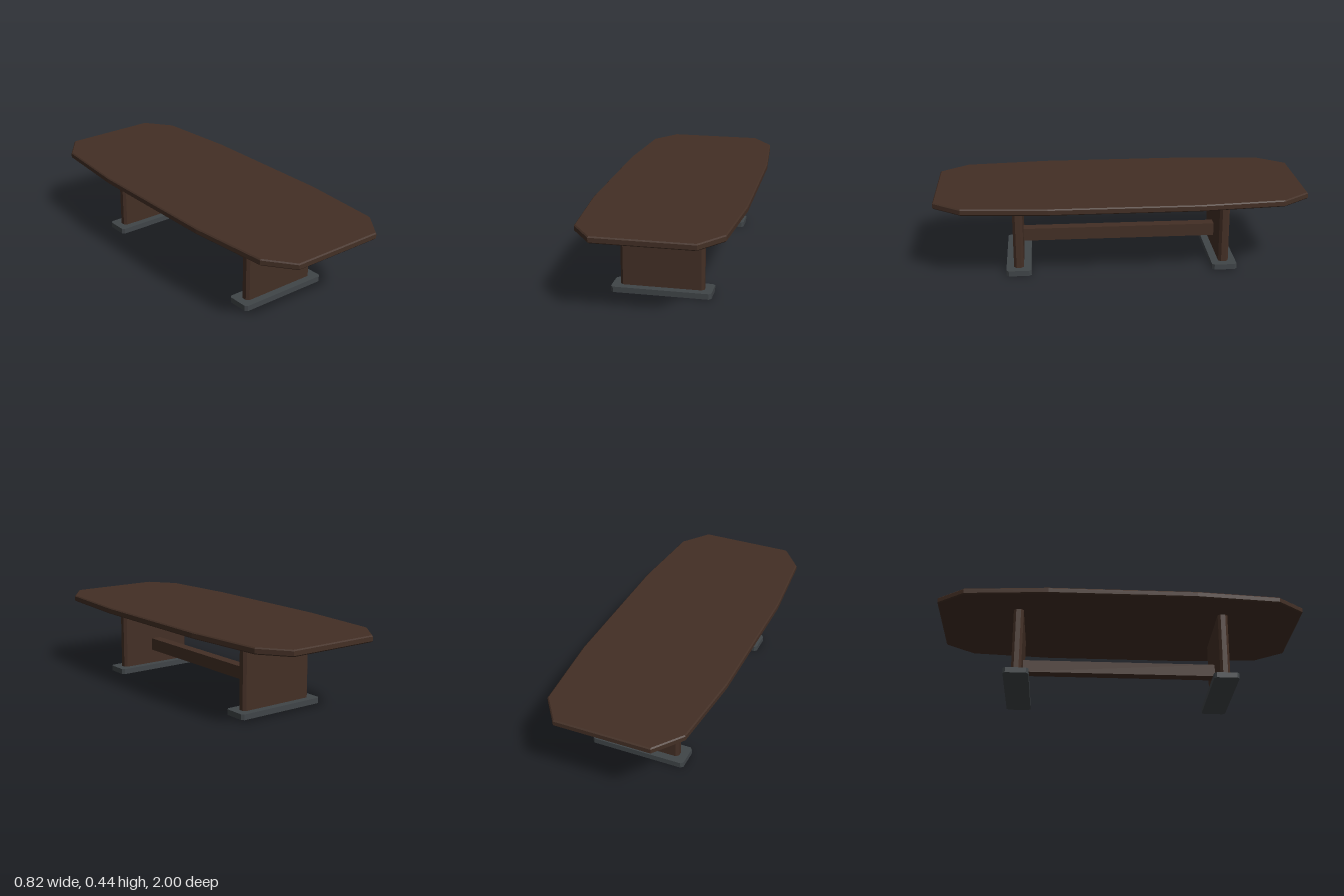
import * as THREE from 'three';

const wood = new THREE.MeshStandardMaterial({ color: 0x432f25, flatShading: true });
const metal = new THREE.MeshStandardMaterial({ color: 0x404548, flatShading: true });

// Horizontal slab from one quarter of its outline ([x, z] points, from the end to the side)
function slab(name, quarter, y0, y1, bevel, material) {
  const back = [...quarter].reverse();
  const outline = [
    ...back,
    ...quarter.map(([x, z]) => [-x, z]),
    ...back.map(([x, z]) => [-x, -z]),
    ...quarter.map(([x, z]) => [x, -z]),
  ].map(([x, z]) => new THREE.Vector2(x, z));
  const geometry = new THREE.ExtrudeGeometry(new THREE.Shape(outline), {
    depth: y1 - y0 - 2 * bevel,
    bevelEnabled: bevel > 0,
    bevelThickness: bevel,
    bevelSize: bevel,
    bevelOffset: -bevel,
    bevelSegments: 1,
  });
  geometry.rotateX(-Math.PI / 2).translate(0, y0 + bevel, 0);
  const mesh = new THREE.Mesh(geometry, material);
  mesh.name = name;
  return mesh;
}

// Quarter outline of a rectangle with cut corners
const cutCorner = (x, z, c) => [[x - c, z], [x, z - c]];

export function createModel() {
  const table = new THREE.Group();
  table.name = 'conferenceTable';

  // Boat-shaped top with clipped corners and a bevelled rim
  table.add(slab('tableTop', [[0.26, 1], [0.373, 0.85], [0.41, 0.4]], 0.4, 0.435, 0.006, wood));

  // Panel leg and foot plate at each end
  for (const [side, s] of [['front', 1], ['back', -1]]) {
    const leg = slab(side + 'Leg', cutCorner(0.22, 0.027, 0.014), 0.03, 0.402, 0, wood);
    const foot = slab(side + 'Foot', cutCorner(0.263, 0.068, 0.013), 0, 0.03, 0, metal);
    leg.position.z = foot.position.z = s * 0.562;
    table.add(leg, foot);
  }

  // Stretcher between the legs
  const stretcher = new THREE.Mesh(new THREE.BoxGeometry(0.06, 0.07, 1.08), wood);
  stretcher.name = 'stretcher';
  stretcher.position.y = 0.145;
  table.add(stretcher);

  return table;
}
